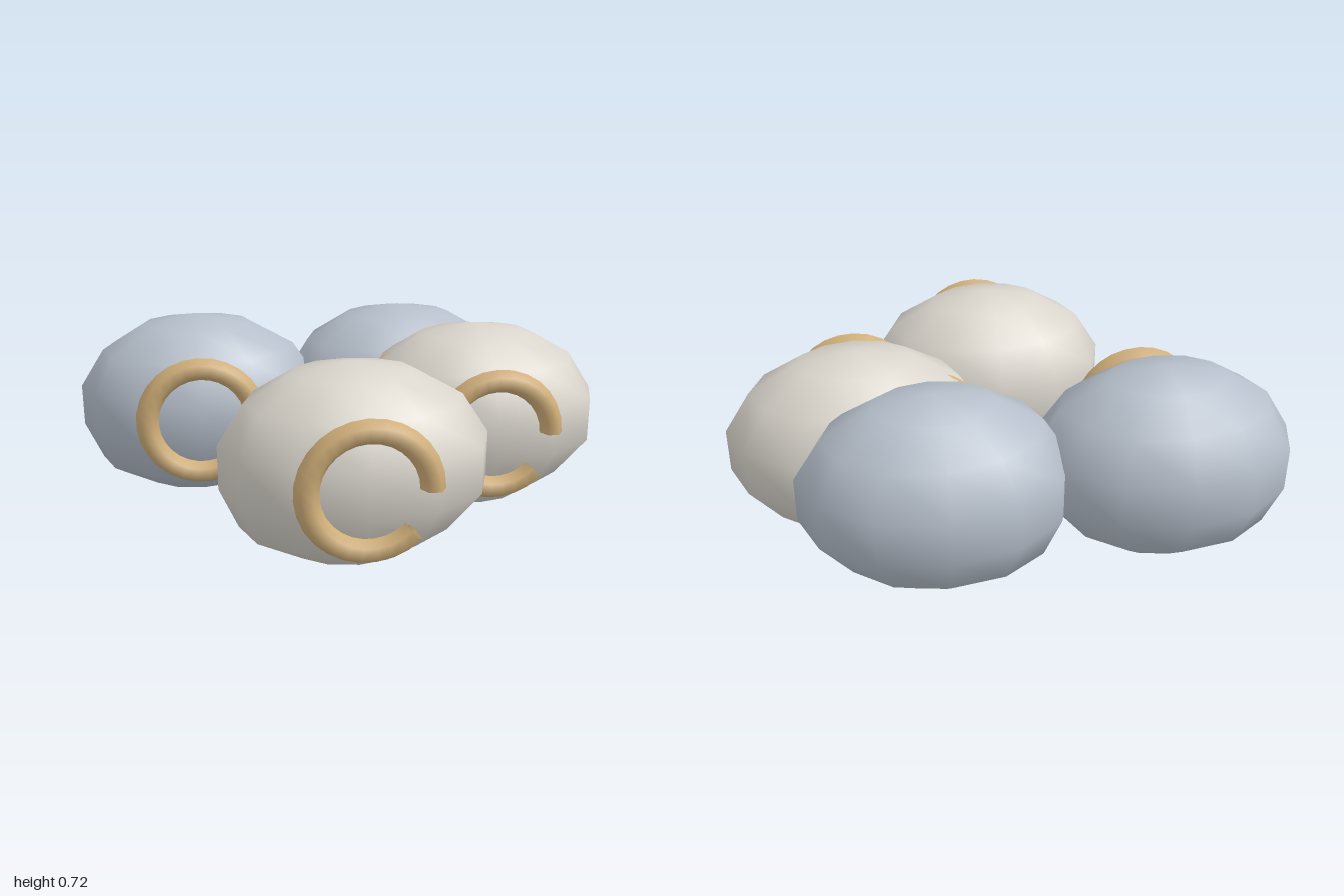
import * as THREE from 'three';
import { mergeVertices } from 'three/addons/utils/BufferGeometryUtils.js';

// Low-poly squashed ball with a gently uneven surface
function puffGeometry() {
  let g = new THREE.SphereGeometry(1, 12, 7);
  g.deleteAttribute('uv');
  g.deleteAttribute('normal');
  g = mergeVertices(g, 1e-3);
  const p = g.attributes.position;
  const v = new THREE.Vector3();
  for (let i = 0; i < p.count; i++) {
    v.fromBufferAttribute(p, i);
    const wobble = 1 + 0.012 * Math.sin(7 * v.x + 5 * v.z) * Math.cos(6 * v.y);
    const side = Math.hypot(v.x, v.z);
    // lower left bulges out, lower right is pulled in
    const lean = 1 + (v.y < -0.5 ? -0.08 * v.x / Math.max(side, 0.01) : 0.015 * v.x) * side;
    const around = side > 0.01 ? wobble * lean : 1;
    p.setXYZ(i, v.x * 0.482 * around, v.y * 0.358, v.z * 0.36 * around);
  }
  g.computeVertexNormals();
  return g;
}

export function createModel() {
  const model = new THREE.Group();
  model.name = 'puffCluster';

  const mat = (color) => new THREE.MeshStandardMaterial({ color });
  const pale = mat(0xd9d5cc);
  const blue = mat(0xb6bfcb);
  const tan = mat(0xd2b07a);
  tan.side = THREE.DoubleSide; // the ring ends are open

  const puff = puffGeometry();
  const ring = new THREE.TorusGeometry(0.203, 0.042, 6, 24, Math.PI * 1.75);

  // x, z and colour of every puff
  const spots = [
    [-0.54, -0.38, blue, 'backRight'],
    [0.28, -0.43, blue, 'backLeft'],
    [0.51, -0.06, pale, 'frontLeft'],
    [-0.04, 0.395, pale, 'frontRight'],
  ];
  for (const [x, z, material, name] of spots) {
    const unit = new THREE.Group();
    unit.name = name + 'Unit';
    unit.position.set(x, 0, z);

    const body = new THREE.Mesh(puff, material);
    body.name = name + 'Puff';
    body.position.y = 0.365;

    // open ring on the front of the puff
    const curl = new THREE.Mesh(ring, tan);
    curl.name = name + 'OpenRing';
    curl.position.set(0, 0.387, 0.342);

    unit.add(body, curl);
    model.add(unit);
  }
  return model;
}
